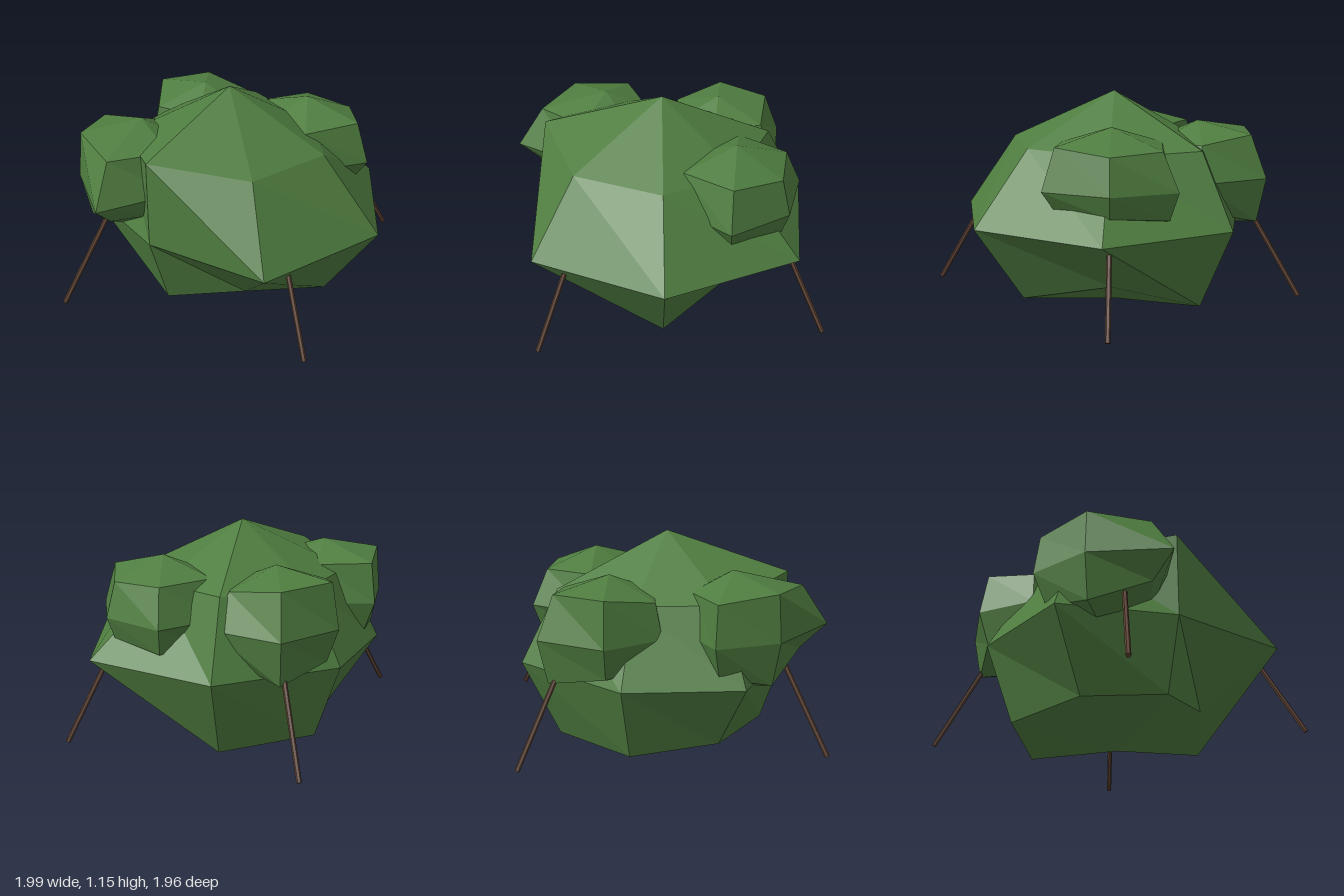
import * as THREE from 'three';

const leaf = new THREE.MeshStandardMaterial({ color: 0x4f7d40, flatShading: true });
leaf.name = 'leaf green';
const bark = new THREE.MeshStandardMaterial({ color: 0x5f4435, flatShading: true });
bark.name = 'bark brown';

// Faceted lump: a top point, rings of points (turning from +x towards +z), a bottom point
function lump(name, top, rings, bottom) {
  const pos = [];
  const tri = (...corners) => corners.forEach((c) => pos.push(...c));
  const n = rings[0].length;
  const last = rings[rings.length - 1];
  for (let i = 0; i < n; i++) {
    const j = (i + 1) % n;
    tri(top, rings[0][j], rings[0][i]);
    for (let r = 0; r + 1 < rings.length; r++) {
      const [u, l] = [rings[r], rings[r + 1]];
      tri(u[j], l[i], u[i]);
      tri(u[j], l[j], l[i]);
    }
    tri(last[i], last[j], bottom);
  }
  const g = new THREE.BufferGeometry();
  g.setAttribute('position', new THREE.Float32BufferAttribute(pos, 3));
  g.computeVertexNormals();
  const mesh = new THREE.Mesh(g, leaf);
  mesh.name = name;
  return mesh;
}

// Six-sided ring from a centre, a height, a starting angle and one radius per corner
function ring(cx, cz, y, turn, radii) {
  return radii.map((r, i) => {
    const a = THREE.MathUtils.degToRad(turn + i * 60);
    return [cx + r * Math.cos(a), Array.isArray(y) ? y[i] : y, cz + r * Math.sin(a)];
  });
}

// Thin stick between two points
function stick(name, from, to) {
  const a = new THREE.Vector3(...from);
  const dir = new THREE.Vector3(...to).sub(a);
  const mesh = new THREE.Mesh(new THREE.CylinderGeometry(0.013, 0.013, dir.length(), 6), bark);
  mesh.position.copy(a).addScaledVector(dir, 0.5);
  mesh.quaternion.setFromUnitVectors(new THREE.Vector3(0, 1, 0), dir.normalize());
  mesh.name = name;
  return mesh;
}

export function createModel() {
  const group = new THREE.Group();
  group.name = 'bush';

  // Main foliage, seven-sided and uneven
  group.add(lump('mainFoliage', [-0.03, 1.15, 0], [
    [[0.45, 0.86, 0.01], [0.29, 0.88, 0.43], [-0.17, 0.89, 0.55], [-0.6, 0.95, 0.27],
      [-0.52, 0.88, -0.25], [-0.14, 0.87, -0.48], [0.35, 0.88, -0.45]],
    [[0.84, 0.5, 0.03], [0.48, 0.5, 0.68], [-0.24, 0.5, 0.82], [-0.6, 0.5, 0.27],
      [-0.69, 0.5, -0.33], [-0.2, 0.5, -0.68], [0.48, 0.5, -0.6]],
    [[0.4, 0.19, 0], [0.31, 0.1, 0.46], [-0.14, 0.18, 0.42], [-0.49, 0.13, 0.22],
      [-0.47, 0.12, -0.2], [-0.15, 0.1, -0.54], [0.36, 0.08, -0.45]],
  ], [-0.03, 0, 0]));

  // Left clump
  group.add(lump('leftClump', [0.43, 1.01, 0], [
    ring(0.43, 0, [0.9, 0.93, 0.92, 0.9, 0.92, 0.91], 0, [0.27, 0.31, 0.29, 0.25, 0.29, 0.29]),
    ring(0.43, 0, 0.72, 0, [0.32, 0.38, 0.33, 0.28, 0.35, 0.38]),
    ring(0.43, 0, [0.61, 0.62, 0.6, 0.6, 0.6, 0.58], 0, [0.28, 0.31, 0.27, 0.25, 0.28, 0.33]),
  ], [0.43, 0.5, 0]));

  // Back clump
  group.add(lump('backClump', [0.03, 1, -0.44], [
    ring(0.02, -0.45, [0.9, 0.9, 0.9, 0.9, 0.95, 0.94], 0, [0.28, 0.24, 0.24, 0.27, 0.29, 0.3]),
    ring(0.02, -0.45, 0.72, 0, [0.38, 0.28, 0.28, 0.31, 0.33, 0.39]),
    ring(0.02, -0.45, [0.56, 0.55, 0.55, 0.57, 0.55, 0.49], 0, [0.28, 0.22, 0.22, 0.26, 0.27, 0.34]),
  ], [0.02, 0.45, -0.45]));

  // Right clump
  group.add(lump('rightClump', [-0.48, 1.02, -0.1], [
    ring(-0.5, -0.1, [0.92, 0.93, 0.93, 0.96, 0.93, 0.92], 17, [0.2, 0.27, 0.34, 0.29, 0.32, 0.23]),
    ring(-0.5, -0.1, 0.72, 17, [0.25, 0.32, 0.48, 0.31, 0.35, 0.27]),
    ring(-0.5, -0.1, [0.55, 0.58, 0.6, 0.49, 0.55, 0.55], 17, [0.22, 0.25, 0.34, 0.26, 0.28, 0.22]),
  ], [-0.58, 0.43, -0.1]));

  // Four splayed sticks
  group.add(
    stick('leftStick', [0.985, 0.1, 0], [0.68, 0.63, 0]),
    stick('rightStick', [-0.985, 0.1, 0], [-0.68, 0.63, 0]),
    stick('frontStick', [-0.095, 0.1, 0.97], [-0.07, 0.63, 0.66]),
    stick('backStick', [0.22, 0.1, -0.97], [0.14, 0.63, -0.66]),
  );
  return group;
}
